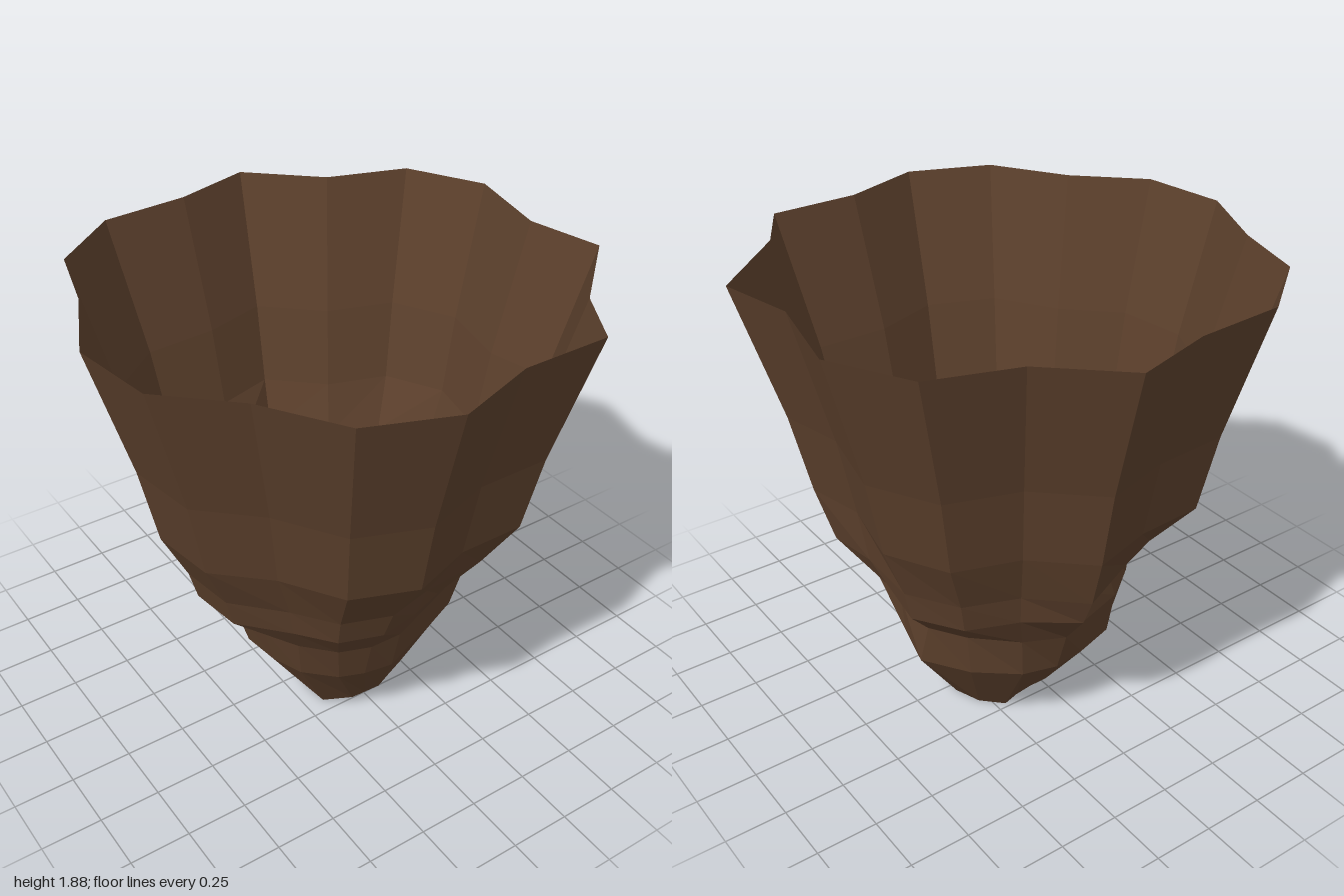
import * as THREE from 'three';

// Cross-sections as [x, z], all starting at the back and running round past +x.
const rim = [
  [0.22, -1.0], [0.49, -0.75], [0.82, -0.64], [0.99, -0.33], [0.91, 0.05], [0.98, 0.36],
  [0.66, 0.65], [0.52, 0.89], [0.16, 0.89], [-0.17, 1.0], [-0.5, 0.87], [-0.69, 0.57],
  [-0.94, 0.33], [-0.99, -0.02], [-0.83, -0.36], [-0.74, -0.67], [-0.46, -0.89], [-0.1, -0.91],
];
const waist = [
  [0.14, -0.64], [0.33, -0.5], [0.53, -0.42], [0.65, -0.24], [0.61, 0], [0.48, 0.38],
  [0.36, 0.42], [0.17, 0.5], [0.02, 0.55], [-0.15, 0.58], [-0.32, 0.52], [-0.43, 0.38],
  [-0.59, 0.2], [-0.62, -0.02], [-0.52, -0.19], [-0.34, -0.34], [-0.16, -0.41], [0.03, -0.48],
];
const lower = [
  [0.12, -0.46], [0.26, -0.42], [0.42, -0.29], [0.54, -0.11], [0.49, 0.08], [0.43, 0.27],
  [0.29, 0.33], [0.15, 0.38], [0, 0.44], [-0.12, 0.42], [-0.22, 0.38], [-0.33, 0.27],
  [-0.38, 0.14], [-0.4, -0.02], [-0.36, -0.17], [-0.31, -0.28], [-0.19, -0.39], [-0.02, -0.44],
];
const foot = [
  [0.14, -0.21], [0.21, -0.23], [0.29, -0.15], [0.33, -0.04], [0.32, 0.03], [0.3, 0.08],
  [0.25, 0.18], [0.15, 0.23], [0.05, 0.29], [-0.02, 0.285], [-0.08, 0.28], [-0.17, 0.19],
  [-0.18, 0.08], [-0.15, 0], [-0.12, -0.06], [-0.07, -0.13], [-0.02, -0.2], [0.06, -0.2],
];

const scale = (ring, s) => ring.map(([x, z]) => [x * s, z * s]);
const mix = (a, b, t) => a.map(([x, z], i) => [x + (b[i][0] - x) * t, z + (b[i][1] - z) * t]);
const at = (ring, y) => ring.map(([x, z]) => new THREE.Vector3(x, y, z));

function facetedMesh(name, triangles, material) {
  const geometry = new THREE.BufferGeometry().setFromPoints(triangles);
  geometry.computeVertexNormals();
  const mesh = new THREE.Mesh(geometry, material);
  mesh.name = name;
  return mesh;
}

export function createModel() {
  const group = new THREE.Group();
  group.name = 'hollowStump';
  const bark = new THREE.MeshStandardMaterial({
    color: 0x5c402c, flatShading: true, side: THREE.DoubleSide,
  });
  bark.name = 'dark brown bark';

  // The shoulder overhangs a dent at the front left and slopes in at the back right
  const shoulder = Object.assign(mix(scale(rim, 0.77), waist, 0.75), {
    0: [0.15, -0.7], 4: [0.67, 0.02], 5: [0.7, 0.23], 6: [0.5, 0.44], 7: [0.33, 0.56],
    14: [-0.56, -0.24], 15: [-0.45, -0.41], 16: [-0.29, -0.51], 17: [-0.11, -0.58],
  });

  // Below the waist the wall steps out again at the left and back
  const bulge = Object.assign(mix(lower, waist, 0.35), {
    2: [0.44, -0.3], 3: [0.53, -0.16], 4: [0.5, 0.1], 5: [0.5, 0.28],
    12: [-0.43, 0.16], 13: [-0.45, -0.02], 15: [-0.35, -0.31], 16: [-0.2, -0.42], 17: [0, -0.48],
  });

  // The foot lifts slightly at the front
  const footRing = foot.map(([x, z]) => new THREE.Vector3(x, z > 0.2 ? (z - 0.2) * 0.5 : 0, z));

  const rings = [
    footRing, at(lower, 0.31), at(bulge, 0.5), at(waist, 0.65), at(shoulder, 0.78),
    at(scale(rim, 0.77), 1.0), at(scale(rim, 0.84), 1.33), at(rim, 1.88),
  ];

  // Open wall, lofted from ring to ring
  const wall = [];
  const n = rim.length;
  for (let r = 0; r < rings.length - 1; r++) {
    const lo = rings[r], hi = rings[r + 1];
    for (let i = 0; i < n; i++) {
      const j = (i + 1) % n;
      wall.push(lo[i], hi[i], hi[j], lo[i], hi[j], lo[j]);
    }
  }
  group.add(facetedMesh('wall', wall, bark));

  // Closed floor
  const centre = new THREE.Vector3(0.07, 0.01, 0.03);
  const floor = [];
  for (let i = 0; i < n; i++) floor.push(centre, footRing[i], footRing[(i + 1) % n]);
  group.add(facetedMesh('floor', floor, bark));

  return group;
}
